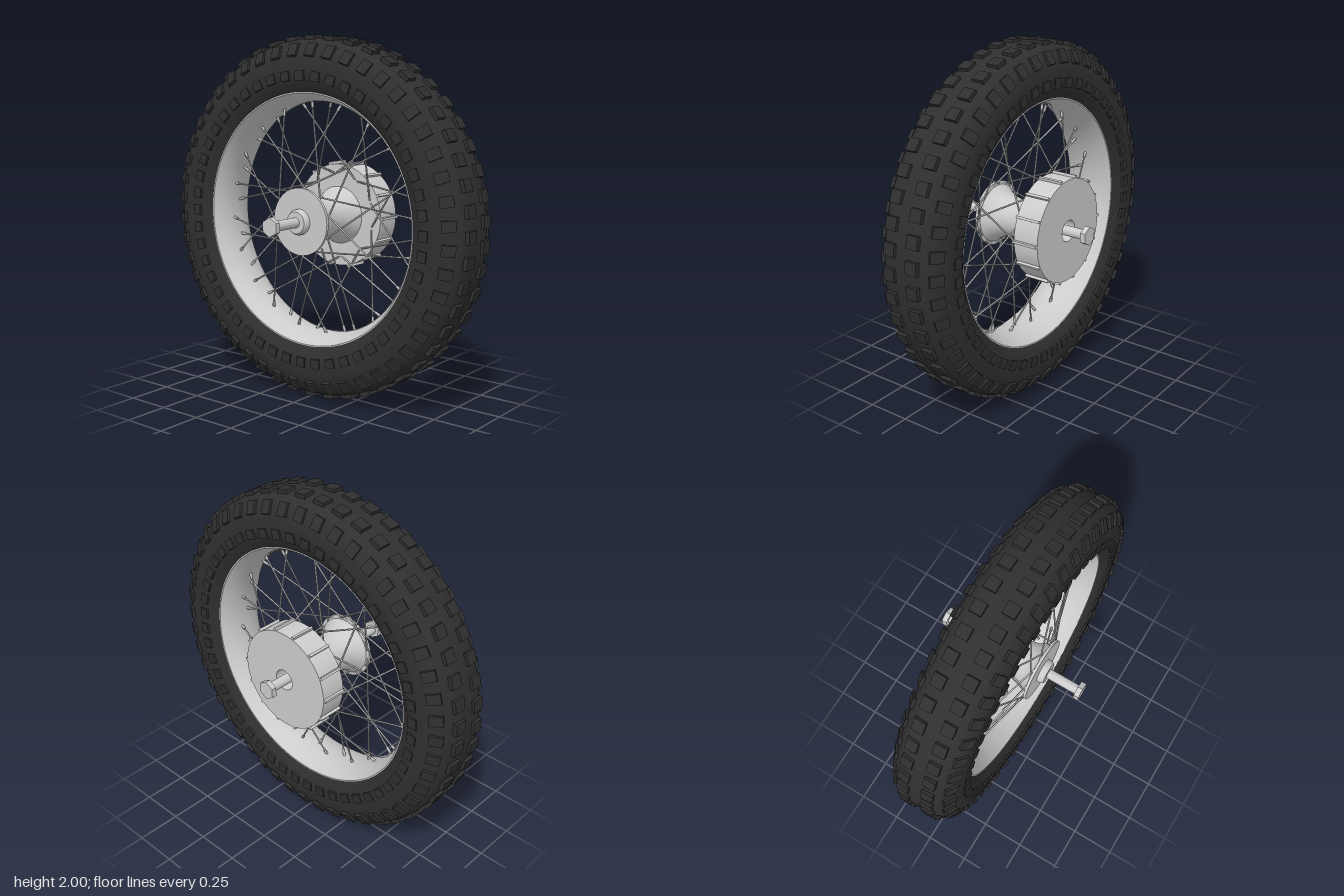
import * as THREE from 'three';
import { mergeGeometries, toCreasedNormals } from 'three/addons/utils/BufferGeometryUtils.js';

const V2 = (p) => new THREE.Vector2(p[0], p[1]);

// Turn a closed [radius, z] profile about the wheel axis (z)
function turned(profile, segments = 96, crease = 0.6) {
  const pts = [...profile, profile[0]].map(V2);
  return toCreasedNormals(new THREE.LatheGeometry(pts, segments).rotateX(Math.PI / 2), crease);
}

// Cylinder along z between two depths
function axial(r, z0, z1, sides) {
  return new THREE.CylinderGeometry(r, r, z1 - z0, sides).rotateX(Math.PI / 2).translate(0, 0, (z0 + z1) / 2);
}

// Rod between two points
function rod(a, b, r, sides) {
  const dir = b.clone().sub(a);
  const g = new THREE.CylinderGeometry(r, r, dir.length(), sides);
  g.applyQuaternion(new THREE.Quaternion().setFromUnitVectors(new THREE.Vector3(0, 1, 0), dir.normalize()));
  return g.translate((a.x + b.x) / 2, (a.y + b.y) / 2, (a.z + b.z) / 2);
}

const polar = (r, a, z) => new THREE.Vector3(r * Math.cos(a), r * Math.sin(a), z);

export function createModel() {
  const rubber = new THREE.MeshStandardMaterial({ color: 0x2f2f2f });
  rubber.name = 'black rubber';
  const metal = new THREE.MeshStandardMaterial({ color: 0xcccccc });
  metal.name = 'light metal';
  const wire = new THREE.MeshStandardMaterial({ color: 0xb8b8b8 });
  wire.name = 'spoke steel';

  const model = new THREE.Group();
  model.name = 'spokedWheel';
  const wheel = new THREE.Group();
  wheel.name = 'wheel';
  wheel.position.y = 1;
  model.add(wheel);
  const add = (name, geometry, material) => {
    const mesh = new THREE.Mesh(geometry, material);
    mesh.name = name;
    wheel.add(mesh);
  };

  // Tyre carcass: half profile mirrored across z
  const half = [[0.984, 0.04], [0.981, 0.09], [0.966, 0.125], [0.935, 0.156], [0.89, 0.177],
    [0.84, 0.187], [0.78, 0.186], [0.73, 0.172], [0.69, 0.142]];
  const mirrored = half.map(([r, z]) => [r, -z]).reverse();
  add('tyre', turned([...mirrored, ...half], 128, 0.7), rubber);

  // Tread blocks: centre, shoulder and sidewall rows on both sides
  const rows = [
    { r: 0.999, z: 0.071, tilt: 0.03, across: 0.068, along: 0.068, shift: 0 },
    { r: 0.925, z: 0.175, tilt: 1.05, across: 0.074, along: 0.058, shift: 0.5 },
    { r: 0.785, z: 0.194, tilt: 1.55, across: 0.052, along: 0.058, shift: 0 },
  ];
  const count = 48, blocks = [];
  for (const side of [1, -1]) {
    for (const row of rows) {
      for (let i = 0; i < count; i++) {
        const turn = (i + row.shift + (side < 0 ? 0.5 : 0)) * 2 * Math.PI / count;
        blocks.push(new THREE.BoxGeometry(0.035, row.along, row.across)
          .translate(-0.0175, 0, 0)
          .rotateY(-row.tilt * side)
          .translate(row.r, 0, row.z * side)
          .rotateZ(turn));
      }
    }
  }
  add('treadBlocks', mergeGeometries(blocks), rubber);

  // Rim: shallow well, lowest in the middle
  const well = [];
  for (let i = 0; i <= 12; i++) {
    const z = 0.148 - 0.296 * i / 12;
    well.push([0.643 + 0.049 * Math.pow(Math.abs(z) / 0.148, 2.2), z]);
  }
  add('rim', turned([[0.705, -0.148], [0.705, 0.148], ...well], 96, 0.7), metal);

  // Hub: spool with a thin front flange
  add('hub', turned([[0.035, -0.16], [0.165, -0.16], [0.15, -0.13], [0.125, -0.08], [0.11, -0.02],
    [0.108, 0.04], [0.12, 0.1], [0.145, 0.15], [0.165, 0.172], [0.185, 0.174], [0.185, 0.19], [0.035, 0.19]], 48), metal);
  add('hubBoss', turned([[0.02, 0.18], [0.07, 0.18], [0.07, 0.212], [0.06, 0.228], [0.02, 0.228]], 32), metal);

  // Brake drum with an open bore
  add('brakeDrum', turned([[0.06, -0.305], [0.29, -0.305], [0.29, -0.155], [0.06, -0.155]], 64), metal);
  const fins = [];
  for (let i = 0; i < 14; i++) {
    fins.push(new THREE.BoxGeometry(0.03, 0.014, 0.146).translate(0.29, 0, -0.23).rotateZ(i * Math.PI / 7));
  }
  add('drumFins', mergeGeometries(fins), metal);

  // Axle with hexagonal ends
  add('axle', axial(0.028, -0.42, 0.42, 24), metal);
  for (const [name, z0, z1] of [['frontAxleNut', 0.41, 0.44], ['rearAxleNut', -0.44, -0.41]]) {
    add(name, toCreasedNormals(axial(0.053, z0, z1, 6), 0.5), metal);
  }

  // Crossed spokes, alternating between front flange and drum
  const spokes = [], nipples = [];
  for (let i = 0; i < 40; i++) {
    const rimAngle = (i + 0.5) * Math.PI / 20;
    const front = i % 2 === 0;
    const lean = (i % 4 < 2 ? 1 : -1) * (front ? 1.0 : 0.75);
    const inner = front ? polar(0.168, rimAngle + lean, 0.178) : polar(0.24, rimAngle + lean, -0.15);
    const outer = polar(0.65, rimAngle, front ? 0.02 : -0.02);
    spokes.push(rod(inner, outer, 0.005, 6));
    nipples.push(rod(outer.clone().lerp(inner, 0.07), outer, 0.008, 8));
  }
  add('spokes', mergeGeometries(spokes), wire);
  add('spokeNipples', mergeGeometries(nipples), wire);

  return model;
}
